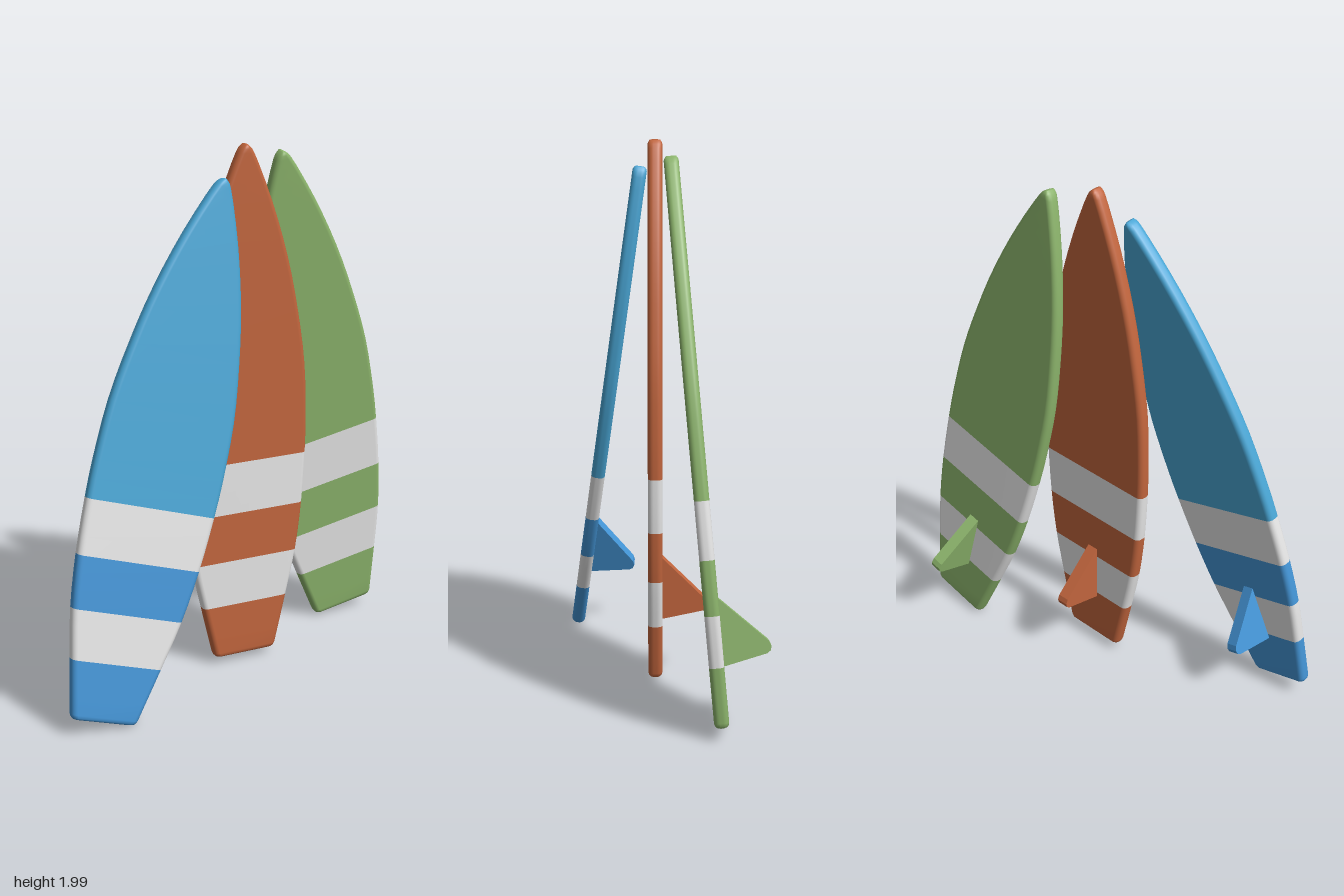
import * as THREE from 'three';

const LENGTH = 1.965, HALF = 0.026, EDGE = 0.02;

// Half width of the board at distances from the tail
const OUTLINE = [
  [0, 0.125], [0.215, 0.175], [0.395, 0.214], [0.585, 0.238], [0.785, 0.25], [0.93, 0.252],
  [1.15, 0.242], [1.4, 0.202], [1.56, 0.165], [1.715, 0.118], [1.85, 0.068], [1.92, 0.038],
  [1.95, 0.022], [LENGTH, 0.005],
];
// Colour bands from tail to nose: [end, material slot]
const BANDS = [[0.215, 1], [0.395, 2], [0.585, 1], [0.785, 2], [LENGTH, 0]];

const mat = (name, color) => {
  const m = new THREE.MeshStandardMaterial({ color });
  m.name = name;
  return m;
};

function halfWidth(t) {
  const n = OUTLINE.length;
  let i = 0;
  while (i < n - 2 && t > OUTLINE[i + 1][0]) i++;
  const slope = (k) => {
    const a = OUTLINE[Math.max(k - 1, 0)], b = OUTLINE[Math.min(k + 1, n - 1)];
    return (b[1] - a[1]) / (b[0] - a[0]);
  };
  const [t0, w0] = OUTLINE[i], [t1, w1] = OUTLINE[i + 1];
  const d = t1 - t0, s = (t - t0) / d, s2 = s * s, s3 = s2 * s;
  return (2 * s3 - 3 * s2 + 1) * w0 + (s3 - 2 * s2 + s) * d * slope(i)
    + (3 * s2 - 2 * s3) * w1 + (s3 - s2) * d * slope(i + 1);
}

// Board: rounded flat cross-sections lofted from tail to nose
function boardGeometry() {
  const stations = [0, 0.003, 0.009, 0.02];
  let from = 0.02;
  for (const [end] of BANDS) {
    const steps = Math.ceil((end - from) / 0.07);
    for (let k = 1; k <= steps; k++) stations.push(from + (end - from) * k / steps);
    from = end;
  }
  stations.splice(stations.length - 1, 0, 1.935, 1.95, 1.958);
  stations.sort((a, b) => a - b);

  const pos = [], index = [], arc = 5, ring = 4 * (arc + 1);
  for (const t of stations) {
    // the tail and nose tips are rounded through the thickness too
    const q = Math.max(0, 1 - t / EDGE), nose = Math.max(0, 1 - (LENGTH - t) / 0.012);
    const inset = EDGE * (1 - Math.sqrt(1 - q * q));
    const w = halfWidth(t) - inset * 0.7;
    const h = HALF - inset * 0.8 - nose * 0.008;
    const rx = Math.min(EDGE, w * 0.8), rz = Math.min(EDGE, h * 0.8);
    for (let c = 0; c < 4; c++) {
      const sx = c === 0 || c === 3 ? 1 : -1, sz = c < 2 ? 1 : -1;
      for (let k = 0; k <= arc; k++) {
        const a = (c + k / arc) * Math.PI / 2;
        pos.push(sx * (w - rx) + rx * Math.cos(a), t, sz * (h - rz) + rz * Math.sin(a));
      }
    }
  }
  const geo = new THREE.BufferGeometry();
  const last = stations.length - 1, tail = pos.length / 3, tip = tail + 1;
  pos.push(0, 0, 0, 0, LENGTH, 0);

  let s = 0;
  for (const [end, slot] of BANDS) {
    const start = index.length;
    if (s === 0) for (let j = 0; j < ring; j++) index.push(tail, j, (j + 1) % ring);
    for (; s < last && stations[s + 1] <= end + 1e-6; s++) {
      for (let j = 0; j < ring; j++) {
        const a = s * ring + j, b = s * ring + (j + 1) % ring;
        index.push(a, a + ring, b, b, a + ring, b + ring);
      }
    }
    if (s === last) {
      for (let j = 0; j < ring; j++) index.push(tip, last * ring + (j + 1) % ring, last * ring + j);
    }
    geo.addGroup(start, index.length - start, slot);
  }
  geo.setAttribute('position', new THREE.Float32BufferAttribute(pos, 3));
  geo.setIndex(index);
  geo.computeVertexNormals();
  return geo;
}

// Fin: swept triangle with a blunt tip, standing out behind the board
function finGeometry() {
  const pts = [[0.02, 0.195], [0.178, 0.229], [0.191, 0.238], [0.195, 0.253], [0.187, 0.272], [0.02, 0.437]];
  const shape = new THREE.Shape(pts.map(([u, y]) => new THREE.Vector2(u, y)));
  const geo = new THREE.ExtrudeGeometry(shape, { depth: 0.046, bevelEnabled: false });
  return geo.translate(0, 0, -0.023).rotateY(Math.PI / 2);
}

export function createModel() {
  const model = new THREE.Group();
  model.name = 'surfboards';
  const white = mat('white stripe', 0xe6e6e6);
  const red = mat('rust red', 0xc1653d);
  const green = mat('leaf green', 0x8bb36b);
  const sky = mat('sky blue', 0x49a6d5);
  const blue = mat('deep blue', 0x4495d6);
  const boardGeo = boardGeometry(), finGeo = finGeometry();

  // name, nose colour, tail colour, tail position, lean about x, tilt about z
  const boards = [
    ['redBoard', red, red, [0.062, 0.035, 0.03], 0, 0],
    ['blueBoard', sky, blue, [-0.645, 0.043, 0.343], -0.139, -0.31],
    ['greenBoard', green, green, [0.62, 0.035, -0.2], 0.091, 0.198],
  ];
  for (const [name, upper, lower, at, lean, tilt] of boards) {
    const group = new THREE.Group();
    group.name = name;
    const deck = new THREE.Mesh(boardGeo, [upper, lower, white]);
    deck.name = 'deck';
    const fin = new THREE.Mesh(finGeo, lower);
    fin.name = 'fin';
    group.add(deck, fin);
    group.position.set(...at);
    group.rotation.set(lean, 0, tilt);
    model.add(group);
  }
  return model;
}
